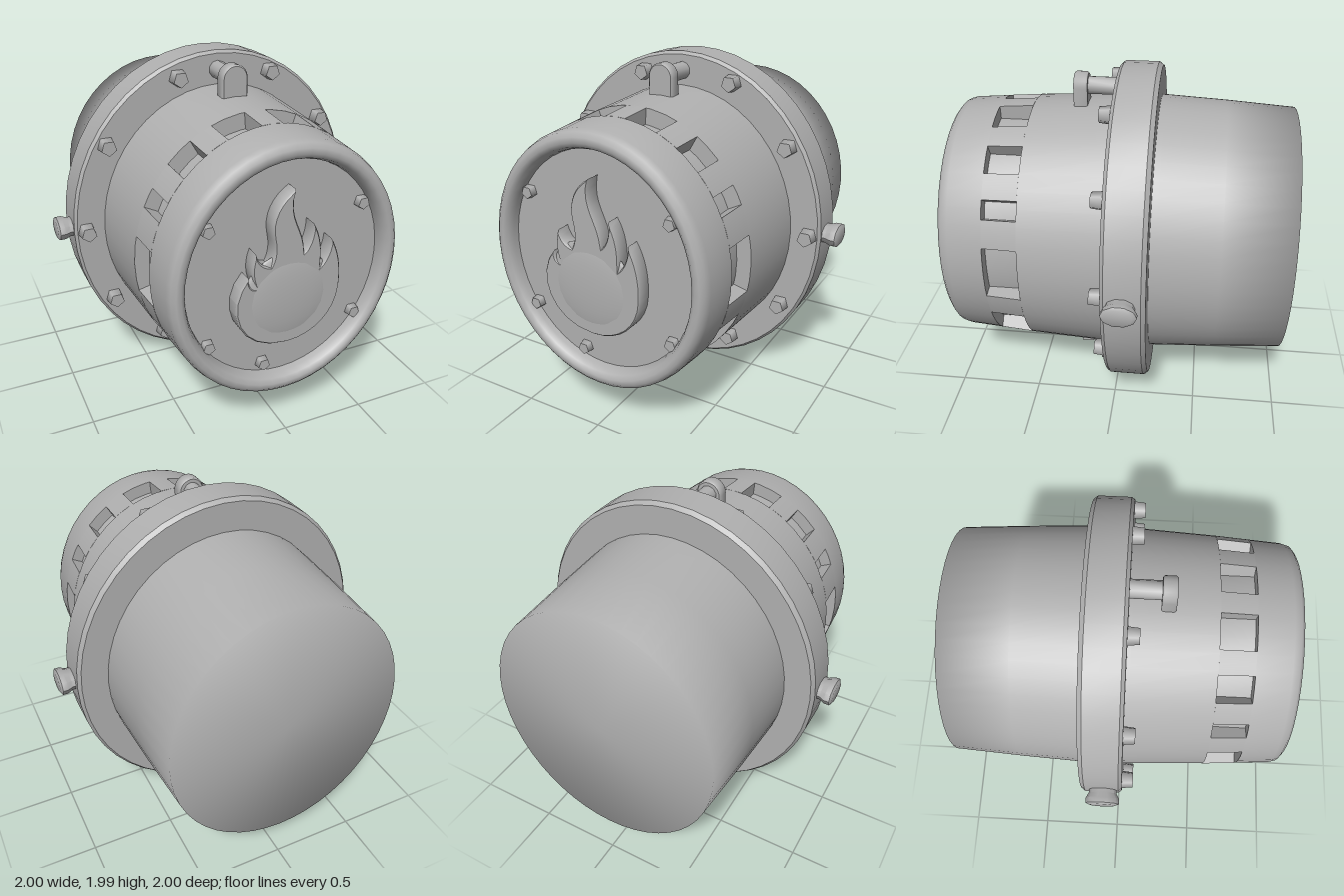
import * as THREE from 'three';
import { toCreasedNormals } from 'three/addons/utils/BufferGeometryUtils.js';

const CY = 1.005;      // height of the barrel axis
const OVAL = 0.915;    // the round parts are slightly narrower than tall
const rad = THREE.MathUtils.degToRad;

export function createModel() {
  const model = new THREE.Group();
  const metal = new THREE.MeshStandardMaterial({ color: 0xb0b0b0 });
  metal.name = 'grey metal';

  const add = (name, geometry, parent = model) => {
    const mesh = new THREE.Mesh(geometry, metal);
    mesh.name = name;
    parent.add(mesh);
    return mesh;
  };

  // Turned part along z from [radius, z] pairs running back to front
  const turned = (profile) => {
    const g = new THREE.LatheGeometry(profile.map(([r, z]) => new THREE.Vector2(r, z)), 48);
    return g.rotateX(Math.PI / 2).scale(OVAL, 1, 1).translate(0, CY, 0);
  };

  // Rear barrel, softly shaded over the closed back
  add('rearBarrel', turned([[0, -1], [0.755, -1], [0.782, -0.6], [0.8, -0.25], [0.802, -0.1]]));

  // Front barrel with a groove for the vents, a rounded rim and a sunken face
  add('frontBarrel', toCreasedNormals(turned([
    [0.802, -0.1], [0.798, 0.05], [0.772, 0.52], [0.68, 0.52], [0.68, 0.72], [0.757, 0.72],
    [0.742, 0.92], [0.73, 0.96], [0.705, 0.98], [0.675, 0.982], [0.65, 0.965],
    [0.635, 0.93], [0.63, 0.9], [0, 0.9],
  ]), 0.8));

  // Wall panels that fill the groove between the vents
  const ventsRight = [[-82, -68], [-49.5, -25], [-12.4, 12.4], [25, 33.5], [45, 58], [69, 85]];
  const ventsLeft = ventsRight.map(([a, b]) => [180 - b, 180 - a]).reverse();
  const vents = [...ventsRight, ...ventsLeft];
  const wall = new THREE.Group();
  wall.name = 'ventWall';
  model.add(wall);
  vents.forEach(([, end], i) => {
    const next = i + 1 < vents.length ? vents[i + 1][0] : vents[0][0] + 360;
    const a = rad(end), b = rad(next);
    const shape = new THREE.Shape();
    shape.absarc(0, 0, 1, a, b, false);
    shape.absarc(0, 0, 0.86, b, a, true);
    const g = new THREE.ExtrudeGeometry(shape, { depth: 0.2, bevelEnabled: false, curveSegments: 5 });
    const p = g.attributes.position;
    for (let k = 0; k < p.count; k++) {
      const r = 0.772 - 0.075 * p.getZ(k);
      p.setXY(k, p.getX(k) * r * OVAL, p.getY(k) * r + CY);
    }
    add('ventPanel', toCreasedNormals(g.translate(0, 0, 0.52), 0.6), wall);
  });

  // Heavy flange around the middle
  add('flange', toCreasedNormals(turned([
    [0.78, -0.215], [0.975, -0.215], [0.995, -0.19], [0.995, 0.01], [0.978, 0.03], [0.78, 0.03],
  ]), 0.6));

  // Pentagonal bolts
  const bolt = (name, x, y, z, r, h) => {
    const g = new THREE.CylinderGeometry(r * 0.85, r, h, 5).rotateX(Math.PI / 2);
    add(name, g.translate(x, y, z + h / 2), model);
  };
  [[-0.25, 1.865], [0.335, 1.85], [0.69, 1.52], [0.84, 1.01], [0.69, 0.53], [0.36, 0.21],
    [-0.135, 0.09], [-0.385, 0.21], [-0.7, 0.53], [-0.84, 1.01], [-0.69, 1.52],
  ].forEach(([x, y]) => bolt('flangeBolt', x, y, 0.02, 0.055, 0.075));
  [[-0.45, 1.33], [0.45, 1.325], [-0.45, 0.65], [0.45, 0.645], [-0.12, 0.45],
  ].forEach(([x, y]) => bolt('faceBolt', x, y, 0.89, 0.042, 0.05));

  // Oval side lugs with a flared end
  for (const s of [1, -1]) {
    const g = new THREE.LatheGeometry([[0.055, 0.86], [0.055, 0.93], [0.066, 0.96], [0.066, 0.99], [0.05, 1], [0, 1]]
      .map(([r, y]) => new THREE.Vector2(r, y)), 10);
    g.scale(1, 1, 1.5).rotateZ(-s * Math.PI / 2).translate(0, CY, -0.08);
    add(s > 0 ? 'leftLug' : 'rightLug', toCreasedNormals(g, 0.7));
  }

  // Hinge brackets: a post on the barrel joined to the flange by a bar
  const rod = (name, r, length, x, y, z, alongZ, sides = 10) => {
    const g = new THREE.CylinderGeometry(r, r, length, sides);
    if (alongZ) g.rotateX(Math.PI / 2);
    add(name, toCreasedNormals(g.translate(x, y, z), 0.8));
  };
  const tab = new THREE.Shape();
  tab.moveTo(-0.07, 1.76);
  tab.lineTo(0.07, 1.76);
  tab.absarc(0, 1.89, 0.07, 0, Math.PI, false);
  const tabGeometry = new THREE.ExtrudeGeometry(tab, {
    depth: 0.06, bevelThickness: 0.01, bevelSize: 0.008, bevelSegments: 1, curveSegments: 8,
  });
  add('topPost', toCreasedNormals(tabGeometry.translate(0, 0, 0.21), 0.8));
  rod('topBar', 0.052, 0.25, 0, 1.89, 0.12, true);
  add('bottomPost', new THREE.BoxGeometry(0.14, 0.18, 0.08).translate(0, 0.13, 0.24));
  rod('bottomBar', 0.055, 0.33, 0, 0.085, 0.12, true);
  rod('bottomPinHead', 0.06, 0.06, 0, 0.08, 0.3, true, 6);
  rod('rearPin', 0.06, 0.1, 0, 0.09, -0.23, true, 8);

  // Raised flame emblem on the face
  const flame = new THREE.Shape();
  flame.moveTo(-0.01, 0.6);
  flame.bezierCurveTo(0.16, 0.6, 0.29, 0.72, 0.3, 0.88);
  flame.quadraticCurveTo(0.31, 1.06, 0.235, 1.18);
  flame.quadraticCurveTo(0.23, 1.08, 0.17, 1.02);
  flame.quadraticCurveTo(0.19, 1.18, 0.12, 1.29);
  flame.quadraticCurveTo(0.12, 1.18, 0.07, 1.13);
  flame.bezierCurveTo(0.07, 1.28, -0.04, 1.33, 0.005, 1.5);
  flame.bezierCurveTo(-0.08, 1.45, -0.14, 1.36, -0.11, 1.24);
  flame.quadraticCurveTo(-0.09, 1.15, -0.125, 1.09);
  flame.quadraticCurveTo(-0.19, 1.1, -0.21, 1.18);
  flame.quadraticCurveTo(-0.25, 1.08, -0.205, 0.98);
  flame.quadraticCurveTo(-0.25, 0.98, -0.25, 1.05);
  flame.bezierCurveTo(-0.4, 0.9, -0.31, 0.6, -0.01, 0.6);
  const flameGeometry = new THREE.ExtrudeGeometry(flame, {
    depth: 0.09, bevelThickness: 0.01, bevelSize: 0.008, bevelOffset: -0.008, bevelSegments: 1, curveSegments: 8,
  });
  add('flame', toCreasedNormals(flameGeometry.translate(0, 0, 0.885), 0.7));
  add('flameBelly', new THREE.SphereGeometry(1, 24, 12).scale(0.28, 0.27, 0.04).translate(-0.015, 0.88, 0.96));

  return model;
}
